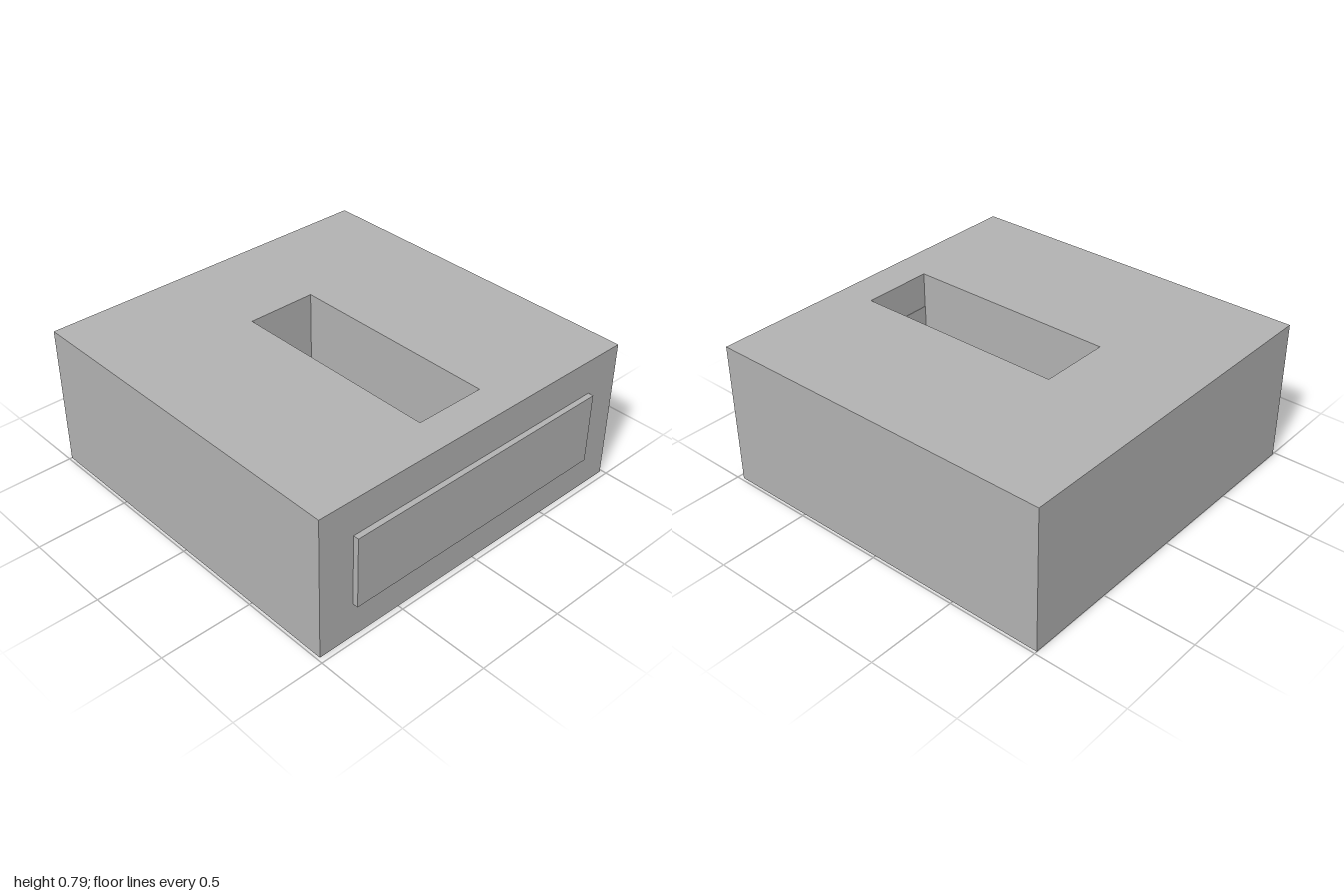
import * as THREE from 'three';

const U = 0.197; // module unit: the body is 10 x 4 x 10 units
const BACK = -1, FRONT = BACK + 10 * U;

const grey = new THREE.MeshStandardMaterial({ color: 0xb2b2b2 });
grey.name = 'grey';

// Rectangle on the ground plane; shape y is -z so that extrusion points up
function rect(PathType, x0, x1, z0, z1) {
  return new PathType([
    new THREE.Vector2(x0, -z1), new THREE.Vector2(x1, -z1),
    new THREE.Vector2(x1, -z0), new THREE.Vector2(x0, -z0),
  ]);
}

// Box given by its lower and upper corners
function block(name, [x0, y0, z0], [x1, y1, z1]) {
  const mesh = new THREE.Mesh(new THREE.BoxGeometry(x1 - x0, y1 - y0, z1 - z0), grey);
  mesh.position.set((x0 + x1) / 2, (y0 + y1) / 2, (z0 + z1) / 2);
  mesh.name = name;
  return mesh;
}

export function createModel() {
  const group = new THREE.Group();
  group.name = 'slottedBlock';

  const slotBack = BACK + 3 * U, slotFront = FRONT - U;

  // Body with the long slot cut from the top
  const outline = rect(THREE.Shape, -5 * U, 5 * U, BACK, FRONT);
  outline.holes.push(rect(THREE.Path, -U, U, slotBack, slotFront));
  const bodyGeometry = new THREE.ExtrudeGeometry(outline, { depth: 4 * U, bevelEnabled: false });
  bodyGeometry.rotateX(-Math.PI / 2);
  const body = new THREE.Mesh(bodyGeometry, grey);
  body.name = 'body';
  group.add(body);

  // Closed bottom of the slot
  group.add(block('slotFloor', [-U, 0, slotBack], [U, U, slotFront]));

  // Front panel, set through the front wall and standing slightly proud
  group.add(block('frontPanel', [-4 * U, U, slotFront - 0.002], [4 * U, 3 * U, 1]));

  return group;
}
